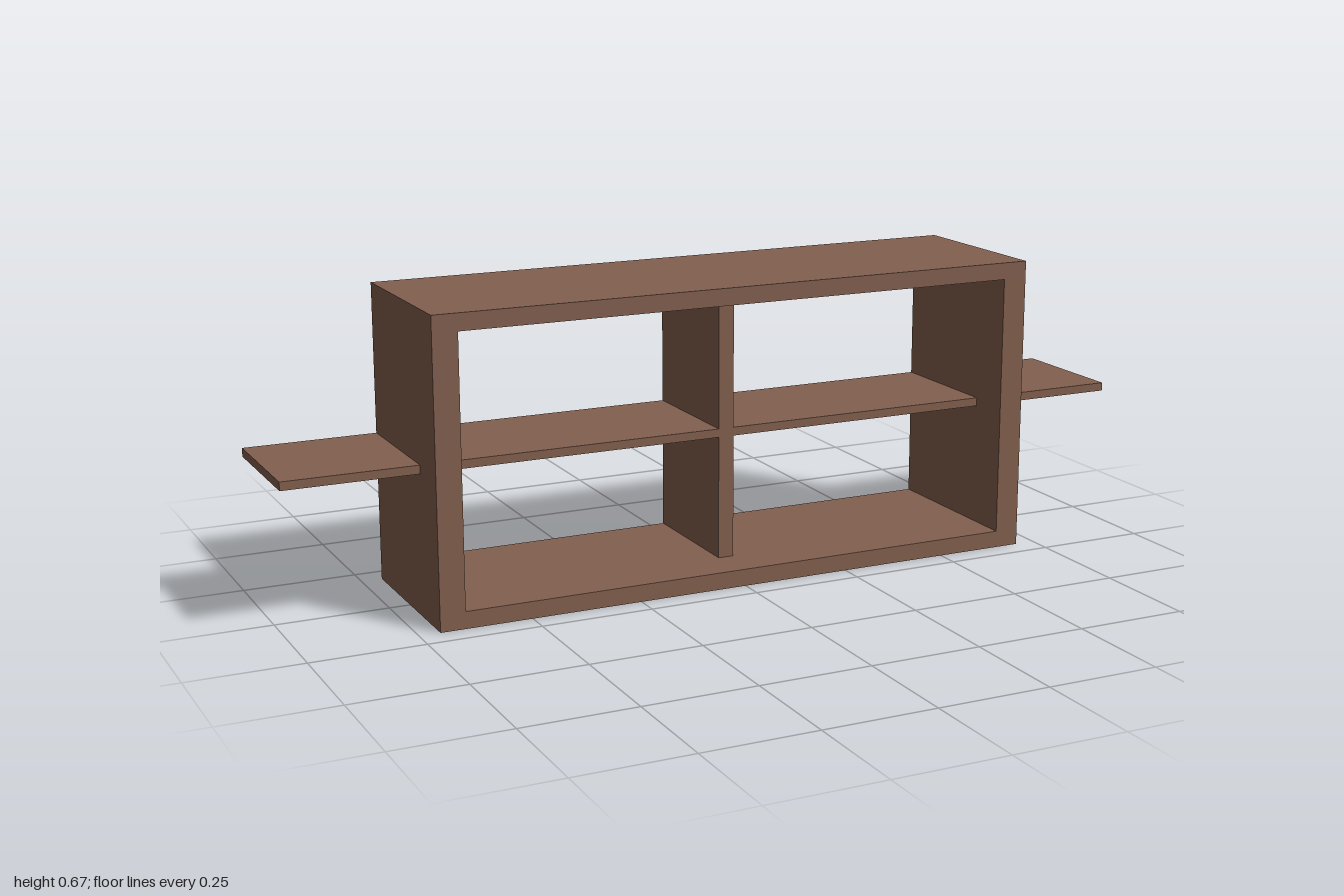
import * as THREE from 'three';

export function createModel() {
  const model = new THREE.Group();
  const wood = new THREE.MeshStandardMaterial({ color: 0x825f4e });
  wood.name = 'brown wood';

  // Box given by its lower and upper limits on each axis
  const board = (name, [x0, x1], [y0, y1], [z0, z1]) => {
    const geometry = new THREE.BoxGeometry(x1 - x0, y1 - y0, z1 - z0);
    geometry.translate((x0 + x1) / 2, (y0 + y1) / 2, (z0 + z1) / 2);
    const mesh = new THREE.Mesh(geometry, wood);
    mesh.name = name;
    model.add(mesh);
  };
  // The same board on the left (+x) and right (-x)
  const pair = (name, [x0, x1], y, z) => {
    board('left' + name, [x0, x1], y, z);
    board('right' + name, [-x1, -x0], y, z);
  };

  const outer = 0.704, inner = 0.648, half = 0.018;
  const height = 0.667, floor = 0.038, ceiling = 0.629;
  const full = [-0.197, 0.197]; // frame depth
  const shallow = [-0.197, 0.098]; // set back from the front
  const shelfY = [0.315, 0.334];

  // Outer frame, open at front and back
  board('bottomPanel', [-outer, outer], [0, floor], full);
  board('topPanel', [-outer, outer], [ceiling, height], full);
  pair('SidePanel', [inner, outer], [floor, ceiling], full);

  // Central divider and the shelves on each side of it
  board('divider', [-half, half], [floor, ceiling], shallow);
  pair('InnerShelf', [half, inner], shelfY, shallow);

  // Shelves extending past the frame
  pair('OuterShelf', [outer, 1], shelfY, shallow);

  return model;
}
